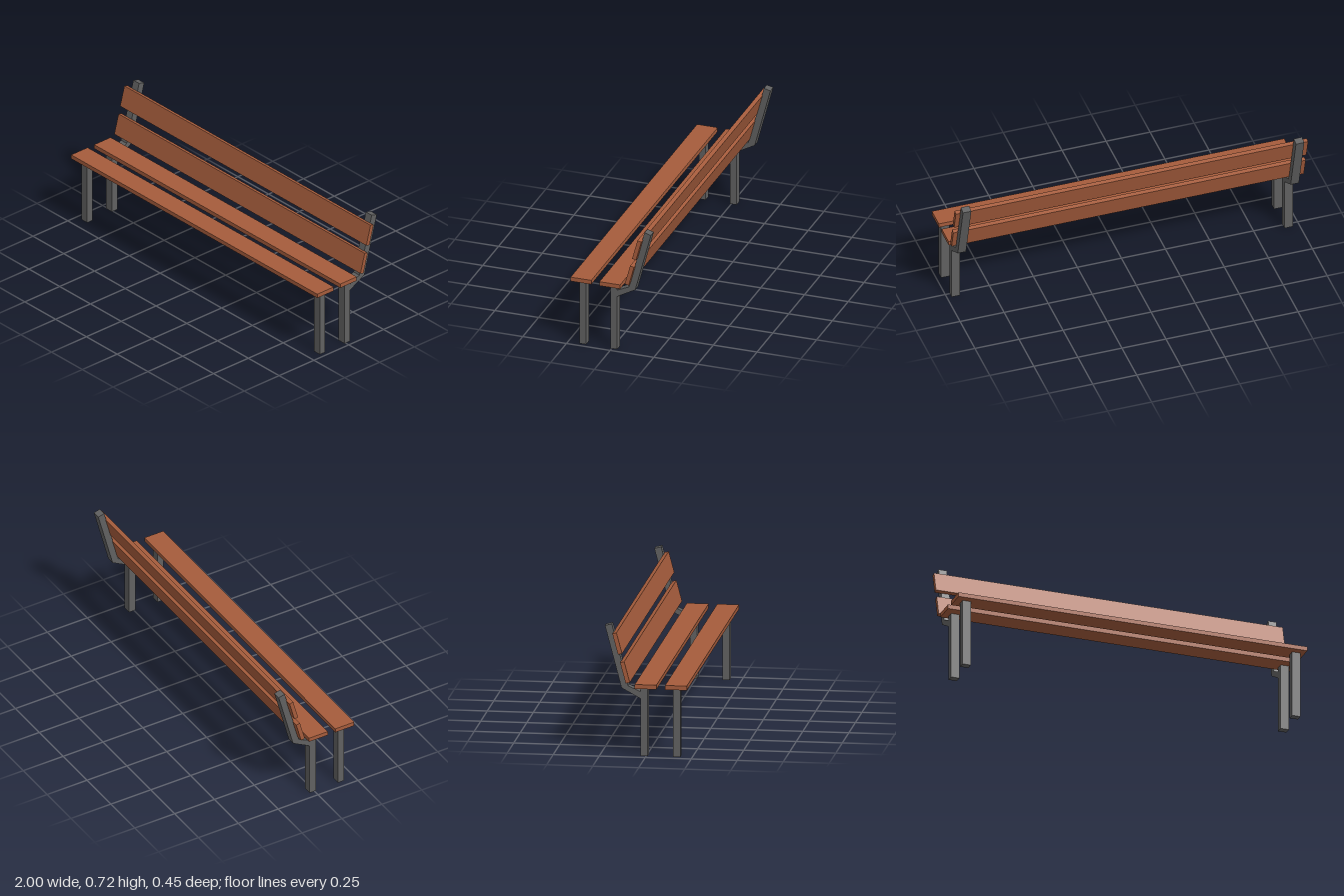
import * as THREE from 'three';

export function createModel() {
  const bench = new THREE.Group();
  bench.name = 'bench';
  const wood = new THREE.MeshStandardMaterial({ name: 'reddish wood', color: 0xa55c3c });
  const metal = new THREE.MeshStandardMaterial({ name: 'dark grey metal', color: 0x606060 });

  const addBox = (name, material, size, position, tilt = 0) => {
    const mesh = new THREE.Mesh(new THREE.BoxGeometry(...size), material);
    mesh.name = name;
    mesh.position.set(...position);
    mesh.rotation.x = tilt;
    bench.add(mesh);
  };

  // Seat planks
  addBox('frontSeatPlank', wood, [2, 0.024, 0.118], [0, 0.389, 0.167]);
  addBox('rearSeatPlank', wood, [2, 0.024, 0.118], [0, 0.389, 0.002]);

  // Leaning backrest planks
  const lean = -THREE.MathUtils.degToRad(15);
  addBox('lowerBackPlank', wood, [2, 0.118, 0.023], [0, 0.465, -0.110], lean);
  addBox('upperBackPlank', wood, [2, 0.118, 0.023], [0, 0.623, -0.152], lean);

  // Bent backrest support profile: (distance behind centre, height)
  const profile = new THREE.Shape([
    [0.031, 0.316], [0.134, 0.372], [0.224, 0.713],
    [0.187, 0.723], [0.098, 0.384], [0.031, 0.354],
  ].map(([u, y]) => new THREE.Vector2(u, y)));
  const width = 0.047;
  const supportGeometry = new THREE.ExtrudeGeometry(profile, { depth: width, bevelEnabled: false });
  supportGeometry.translate(0, 0, -width / 2);
  supportGeometry.rotateY(Math.PI / 2);

  // Legs and support at each end
  for (const [side, x] of [['right', -0.939], ['left', 0.951]]) {
    addBox(`${side}FrontLeg`, metal, [width, 0.377, 0.039], [x, 0.1885, 0.166]);
    addBox(`${side}RearLeg`, metal, [width, 0.377, 0.039], [x, 0.1885, -0.0115]);
    const support = new THREE.Mesh(supportGeometry, metal);
    support.name = `${side}BackSupport`;
    support.position.x = x;
    bench.add(support);
  }
  return bench;
}
